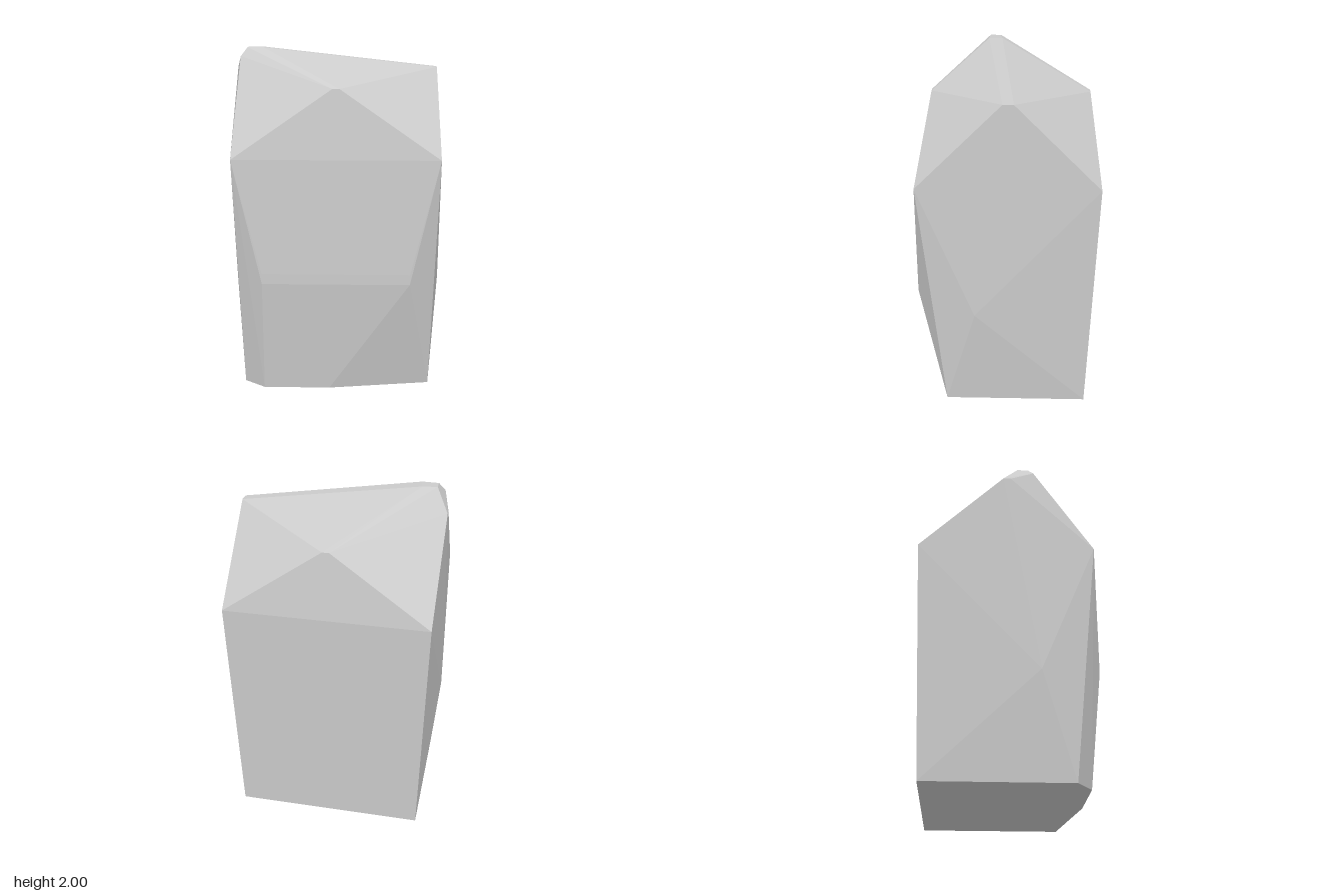
import * as THREE from 'three';
import { ConvexGeometry } from 'three/addons/geometries/ConvexGeometry.js';

// A faceted boulder: the convex hull of its chipped corners.
export function createModel() {
  const group = new THREE.Group();
  group.name = 'rock';
  const points = [];
  const add = (x, y, z) => points.push(new THREE.Vector3(x, y, z));

  // Corners that repeat on both sides
  for (const s of [-1, 1]) {
    add(s * 0.555, 0, 0.36); // base, front
    add(s * 0.555, 0, -0.475); // base, back
    add(s * 0.613, 0.62, 0.18); // side bulge
    add(s * 0.425, 0.74, 0.525); // front crease, upper edge
    add(s * 0.425, 0.68, 0.525); // front crease, lower edge
    add(s * 0.59, 1.4, 0.5); // shoulder, front
    add(s * 0.59, 1.4, -0.525); // shoulder, back
    add(s * 0.02, 1.79, 0.45); // front gable
    add(s * 0.02, 1.79, -0.48); // back gable
  }

  // Front edge of the base
  add(-0.43, 0, 0.45);
  add(-0.04, 0, 0.45);

  // Low end of the ridge
  add(0.592, 1.88, 0.015);
  add(0.592, 1.88, -0.045);

  // Chipped peak at the high end
  add(-0.597, 1.88, -0.03);
  add(-0.597, 1.88, 0.015);
  add(-0.562, 1.95, 0.155);
  add(-0.525, 2, 0.06);
  add(-0.525, 2, 0.125);
  add(-0.43, 2, 0.13);
  add(-0.44, 2, 0.05);

  const material = new THREE.MeshStandardMaterial({ color: 0xcccccc, flatShading: true });
  const boulder = new THREE.Mesh(new ConvexGeometry(points), material);
  boulder.name = 'boulder';
  group.add(boulder);
  return group;
}
